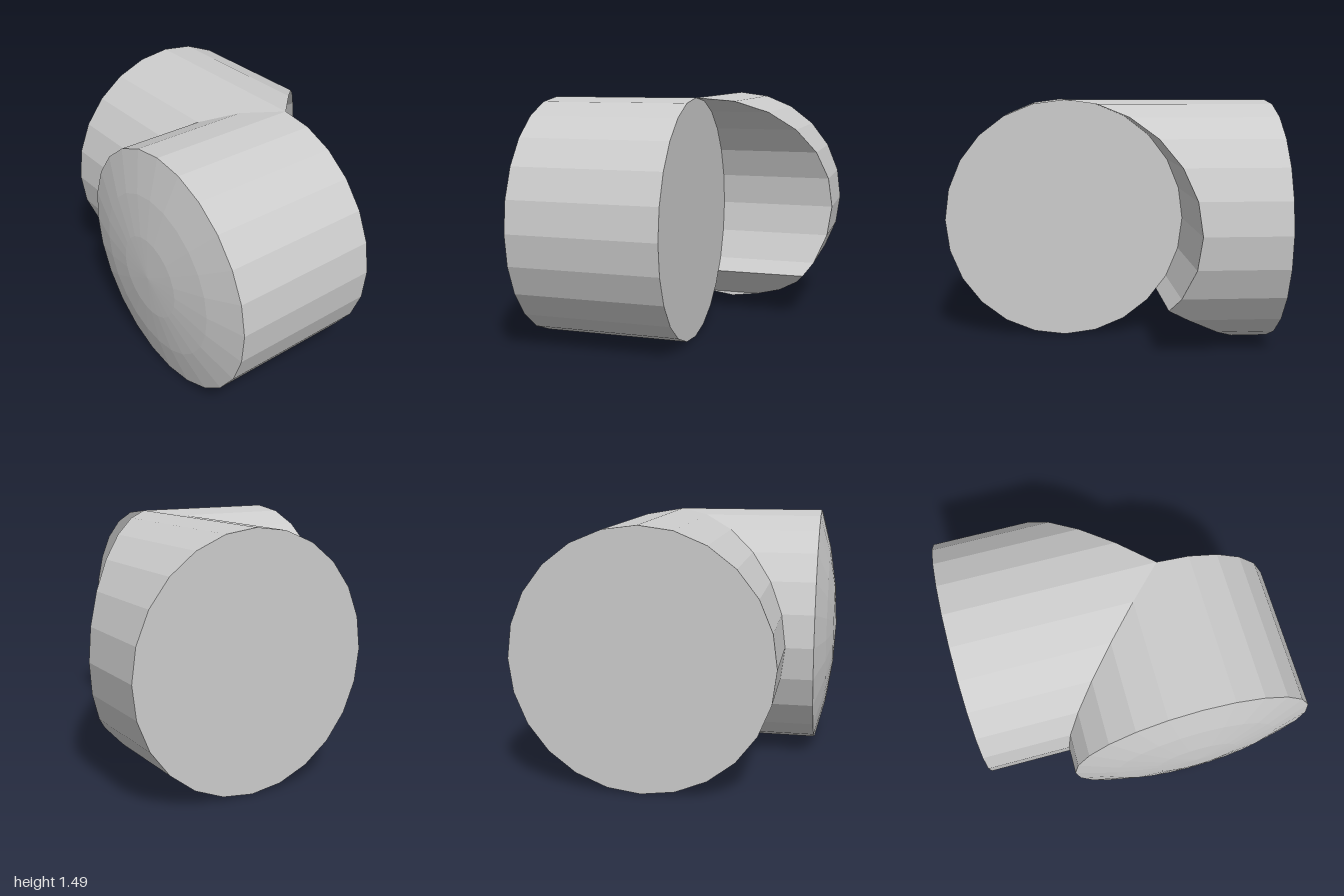
import * as THREE from 'three';

const R = 0.745;      // radius of both drums
const CX = 0.14;      // axis of the rear drum, and end cap of the side drum
const CZ = 0.255;     // axis of the side drum
const BACK = -1;
const SIDES = 24;

export function createModel() {
  const group = new THREE.Group();
  const material = new THREE.MeshStandardMaterial({ color: 0xcccccc, flatShading: true });
  const add = (name, geometry) => {
    const mesh = new THREE.Mesh(geometry, material);
    mesh.name = name;
    group.add(mesh);
    return mesh;
  };

  // Drums lying along x: a flat-capped body and a shallow domed end
  const lathe = (name, profile) => {
    const points = profile.map(([r, h]) => new THREE.Vector2(r, h));
    const geometry = new THREE.LatheGeometry(points, SIDES);
    geometry.rotateZ(Math.PI / 2);
    add(name, geometry).position.set(0, R, CZ);
  };
  lathe('sideDrum', [[0, -CX], [R, -CX], [R, 0.77]]);
  lathe('domedEnd', [[R, 0.77], [0.5, 0.834], [0.252, 0.872], [0, 0.885]]);

  // Rear drum along z: its front is scooped to the side drum's curve,
  // and the lowest part is cut away by a sloping plane
  const cutY = 0.29;
  const levels = [];
  for (let i = 0; i <= SIDES / 2; i++) {
    const a = (i * 2 * Math.PI) / SIDES;
    levels.push({ y: R * (1 - Math.cos(a)), w: R * Math.sin(a) });
  }
  const k = levels.findIndex((l) => l.y > cutY);
  const lo = levels[k - 1], hi = levels[k];
  const cutW = THREE.MathUtils.mapLinear(cutY, lo.y, hi.y, lo.w, hi.w);
  levels.splice(k, 0, { y: cutY, w: cutW });

  const frontZ = ({ y, w }) => {
    if (y >= cutY) return CZ - w;
    return y < 0.01 ? -0.775 : CZ - cutW - (cutY - y) * 1.71;
  };
  const positions = [];
  const rings = levels.map((l) => {
    const z = frontZ(l);
    return [[-l.w, z], [l.w, z], [l.w, BACK], [-l.w, BACK]].map(([x, d]) => [CX + x, l.y, d]);
  });
  for (let i = 0; i < rings.length - 1; i++) {
    for (let j = 0; j < 4; j++) {
      const n = (j + 1) % 4;
      const a = rings[i][j], b = rings[i][n], c = rings[i + 1][n], d = rings[i + 1][j];
      positions.push(...a, ...b, ...c, ...a, ...c, ...d);
    }
  }
  const geometry = new THREE.BufferGeometry();
  geometry.setAttribute('position', new THREE.Float32BufferAttribute(positions, 3));
  geometry.computeVertexNormals();
  add('rearDrum', geometry);

  return group;
}
